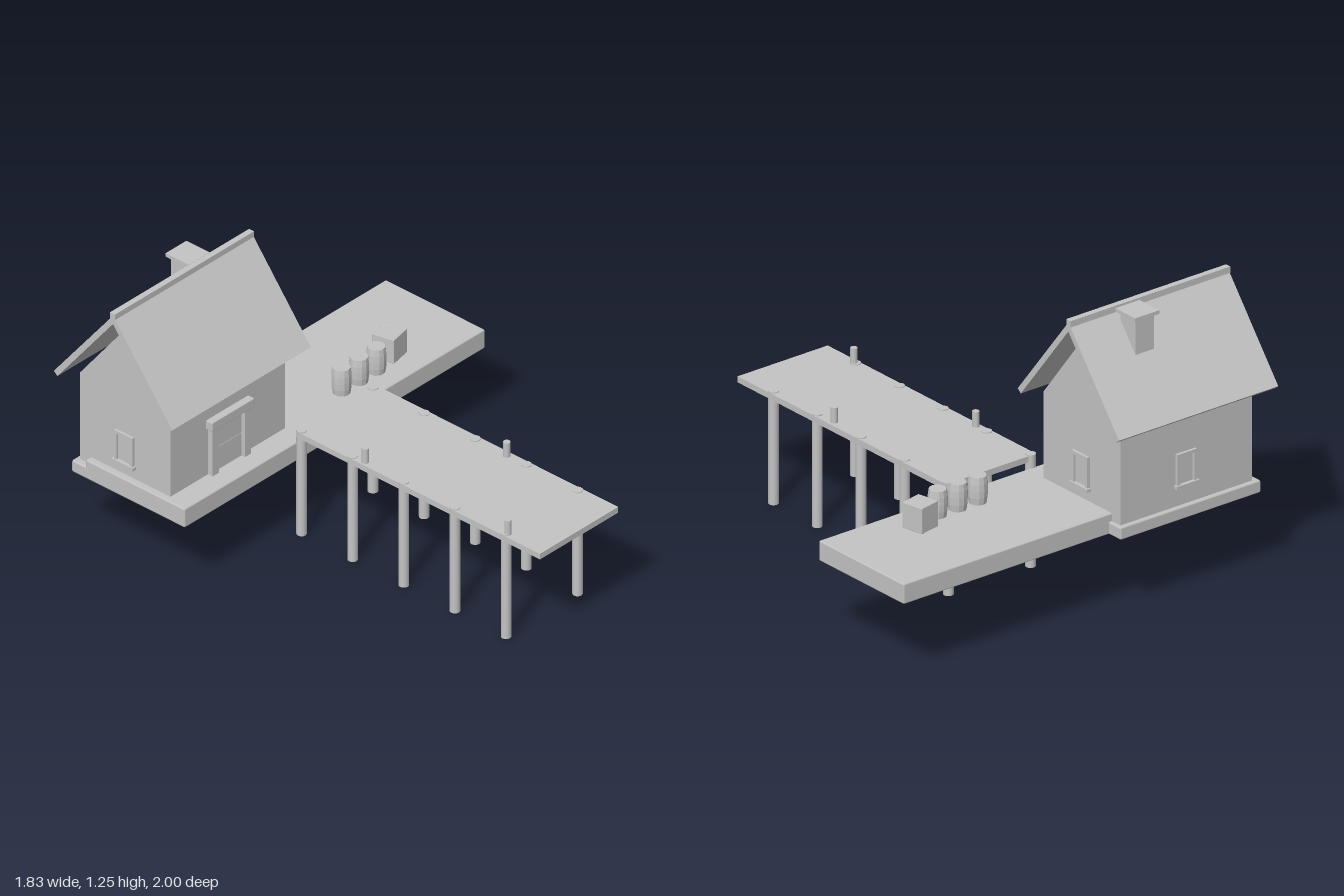
import * as THREE from 'three';
import { RoundedBoxGeometry } from 'three/addons/geometries/RoundedBoxGeometry.js';

export function createModel() {
  const model = new THREE.Group();
  model.name = 'lakeHouseWithDock';
  const grey = new THREE.MeshStandardMaterial({ color: 0xc4c4c4 });
  grey.name = 'plainGrey';

  const add = (name, geometry, parent = model) => {
    const mesh = new THREE.Mesh(geometry, grey);
    mesh.name = name;
    parent.add(mesh);
    return mesh;
  };
  // Box given by its low and high corners, optionally with softened edges
  const box = (name, [x0, y0, z0], [x1, y1, z1], parent = model, soft = 0) => {
    const s = [x1 - x0, y1 - y0, z1 - z0];
    const g = soft ? new RoundedBoxGeometry(...s, 1, soft) : new THREE.BoxGeometry(...s);
    g.translate((x0 + x1) / 2, (y0 + y1) / 2, (z0 + z1) / 2);
    return add(name, g, parent);
  };
  const post = (name, x, z, r, y0, y1) => {
    const g = new THREE.CylinderGeometry(r, r, y1 - y0, 12);
    return add(name, g.toNonIndexed()).position.set(x, (y0 + y1) / 2, z);
  };
  // Outline in (distance in front of the ridge, height), extruded along x
  const ridgeZ = -0.675;
  const alongX = (name, points, x0, x1) => {
    const shape = new THREE.Shape(points.map(([d, y]) => new THREE.Vector2(-d, y)));
    const g = new THREE.ExtrudeGeometry(shape, { depth: x1 - x0, bevelEnabled: false });
    g.rotateY(Math.PI / 2);
    g.translate(x0, 0, ridgeZ);
    return add(name, g);
  };

  // Platform and the lower ledge behind the house
  box('platform', [-0.875, 0.35, -0.865], [0.91, 0.44, -0.325], model, 0.007);
  box('houseLedge', [-0.875, 0.35, -0.94], [-0.15, 0.405, -0.8], model, 0.007);

  // House body and gables
  box('houseWalls', [-0.845, 0.4, -0.92], [-0.165, 0.82, -0.43]);
  alongX('gable', [[0.245, 0.82], [0, 1.135], [-0.245, 0.82]], -0.845, -0.165);

  // Roof slabs with overhang, and the ridge cap
  for (const s of [1, -1]) {
    alongX(s > 0 ? 'frontRoof' : 'backRoof',
      [[0, 1.235], [s * 0.322, 0.828], [s * 0.302, 0.812], [0, 1.195]], -0.918, -0.095);
  }
  box('ridgeCap', [-0.92, 1.218, -0.69], [-0.094, 1.246, -0.663]);

  // Chimney
  box('chimney', [-0.43, 0.94, -0.807], [-0.335, 1.226, -0.712]);
  box('chimneyCap', [-0.445, 1.224, -0.823], [-0.32, 1.24, -0.697]);

  // Door with jambs and lintel
  const door = new THREE.Group();
  door.name = 'door';
  model.add(door);
  box('doorPanel', [-0.585, 0.44, -0.435], [-0.43, 0.653, -0.424], door);
  box('doorRail', [-0.585, 0.545, -0.426], [-0.43, 0.551, -0.422], door);
  box('leftJamb', [-0.43, 0.44, -0.435], [-0.393, 0.665, -0.405], door);
  box('rightJamb', [-0.622, 0.44, -0.435], [-0.585, 0.665, -0.405], door);
  box('lintel', [-0.632, 0.66, -0.435], [-0.38, 0.703, -0.397], door, 0.004);

  // Framed windows, built facing +z and turned onto each wall
  const addWindow = (name, x, z, turn) => {
    const w = new THREE.Group();
    w.name = name;
    box('pane', [-0.04, 0.5, -0.005], [0.04, 0.63, 0.003], w);
    for (const s of [-1, 1]) {
      box('sideFrame', [s * 0.043 - 0.007, 0.495, -0.005], [s * 0.043 + 0.007, 0.637, 0.013], w);
    }
    box('topFrame', [-0.036, 0.623, -0.005], [0.036, 0.637, 0.013], w);
    box('sill', [-0.058, 0.486, -0.005], [0.058, 0.501, 0.02], w);
    w.position.set(x, 0, z);
    w.rotation.y = turn;
    model.add(w);
  };
  addWindow('leftWindow', -0.165, -0.675, Math.PI / 2);
  addWindow('rightWindow', -0.845, -0.675, -Math.PI / 2);
  addWindow('backWindow', -0.5, -0.92, Math.PI);

  // Dock deck, supporting piles and mooring pegs
  box('dockDeck', [-0.213, 0.467, -0.325], [0.252, 0.494, 1]);
  for (let i = 0; i < 5; i++) {
    for (const x of [-0.193, 0.231]) post('dockPile', x, 0.798 - i * 0.278, 0.022, 0, 0.498);
  }
  for (const [x, z] of [[-0.19, 0.805], [0.226, 0.418], [-0.19, 0.03]]) {
    post('mooringPeg', x, z, 0.015, 0.47, 0.562);
  }

  // Three barrels with a slight bulge
  const profile = [[0, 0], [0.037, 0], [0.041, 0.03], [0.042, 0.06], [0.041, 0.09], [0.037, 0.12], [0, 0.12]]
    .map(([r, y]) => new THREE.Vector2(r, y));
  for (const x of [0.184, 0.288, 0.391]) {
    const g = new THREE.LatheGeometry(profile, 12).toNonIndexed();
    g.computeVertexNormals();
    add('barrel', g).position.set(x, 0.44, -0.442);
  }

  // Crate, turned slightly
  const crate = add('crate', new RoundedBoxGeometry(0.103, 0.113, 0.103, 1, 0.003));
  crate.position.set(0.514, 0.497, -0.483);
  crate.rotation.y = 0.2;

  return model;
}
